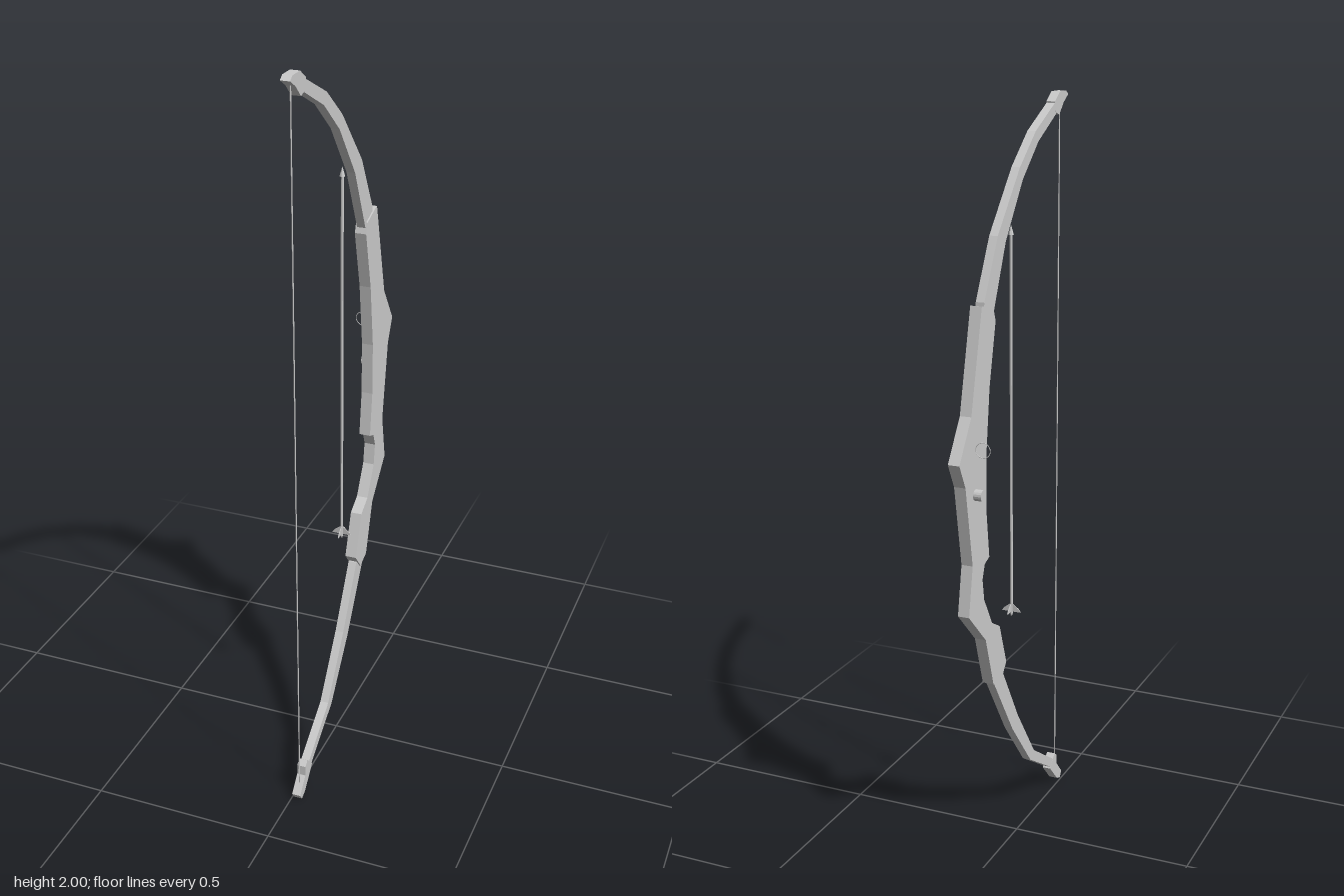
import * as THREE from 'three';

const MID = 0.0155; // x of the bow's centre plane

export function createModel() {
  const group = new THREE.Group();
  const mat = new THREE.MeshStandardMaterial({ color: 0xcccccc, flatShading: true, side: THREE.DoubleSide });

  const add = (name, geometry, x = 0, y = 0, z = 0) => {
    const mesh = new THREE.Mesh(geometry, mat);
    mesh.name = name;
    mesh.position.set(x, y, z);
    group.add(mesh);
    return mesh;
  };

  // Flat slab from a [z, y] outline, with its thickness along x
  const slab = (name, outline, width) => {
    const shape = new THREE.Shape(outline.map(([z, y]) => new THREE.Vector2(-z, y)));
    const geo = new THREE.ExtrudeGeometry(shape, { depth: width, bevelEnabled: false });
    geo.translate(0, 0, -width / 2).rotateY(Math.PI / 2);
    return add(name, geo, MID);
  };

  // Handle section with its grip and angular crest
  slab('riser', [
    [-0.21, 1.525], [-0.275, 1.265], [-0.345, 1.16], [-0.312, 1.095], [-0.275, 0.88],
    [-0.299, 0.75], [-0.2, 0.652], [-0.153, 0.508], [-0.108, 0.493], [-0.07, 0.54],
    [-0.112, 0.658], [-0.16, 0.685], [-0.208, 0.767], [-0.217, 0.825], [-0.203, 0.862],
    [-0.175, 0.873], [-0.19, 0.995], [-0.19, 1.14], [-0.168, 1.315], [-0.13, 1.475],
    [-0.14, 1.503], [-0.195, 1.522],
  ], 0.031);

  // Curved limbs
  slab('upperLimb', [
    [-0.19, 1.5], [-0.187, 1.53], [-0.106, 1.68], [0.03, 1.832], [0.13, 1.912], [0.27, 1.98],
    [0.265, 1.945], [0.148, 1.885], [0.048, 1.8], [-0.058, 1.66], [-0.135, 1.49],
  ], 0.023);
  slab('lowerLimb', [
    [-0.145, 0.51], [-0.02, 0.318], [0.106, 0.165], [0.265, 0.065],
    [0.28, 0.085], [0.132, 0.183], [0.016, 0.345], [-0.085, 0.515],
  ], 0.023);

  // Limb tips with string notches
  slab('upperTip', [
    [0.347, 1.99], [0.333, 2], [0.29, 2], [0.255, 1.977],
    [0.258, 1.95], [0.286, 1.942], [0.317, 1.972],
  ], 0.024);
  slab('lowerTip', [
    [0.255, 0.065], [0.307, 0.01], [0.33, 0], [0.342, 0.018],
    [0.304, 0.06], [0.303, 0.088], [0.288, 0.1], [0.268, 0.083],
  ], 0.024);

  // Bowstring
  add('bowstring', new THREE.CylinderGeometry(0.0018, 0.0018, 1.945, 6), MID, 1.0025, 0.317);

  // Arrow rest peg and sight ring on the bow's right side
  add('arrowRest', new THREE.CylinderGeometry(0.0145, 0.0145, 0.022, 16).rotateZ(Math.PI / 2), -0.01, 1.062, -0.255);
  add('sightRing', new THREE.TorusGeometry(0.0195, 0.001, 6, 24), -0.024, 1.18, -0.261);

  // Arrow standing between string and riser
  add('arrowShaft', new THREE.CylinderGeometry(0.004, 0.004, 1.02, 8), MID, 1.16, 0);
  add('arrowHead', new THREE.ConeGeometry(0.0075, 0.025, 8), MID, 1.681, 0);
  add('arrowNock', new THREE.CylinderGeometry(0.004, 0.002, 0.008, 8), MID, 0.648, 0);

  // Crossed triangular vanes
  const vane = new THREE.Shape([
    new THREE.Vector2(-0.027, 0), new THREE.Vector2(0.027, 0),
    new THREE.Vector2(0.022, 0.008), new THREE.Vector2(0.004, 0.022),
    new THREE.Vector2(-0.004, 0.022), new THREE.Vector2(-0.022, 0.008),
  ]);
  for (let i = 0; i < 2; i++) {
    const geo = new THREE.ExtrudeGeometry(vane, { depth: 0.002, bevelEnabled: false });
    geo.translate(0, 0, -0.001).rotateY((i * Math.PI) / 2);
    add('fletching', geo, MID, 0.656, 0);
  }

  return group;
}
